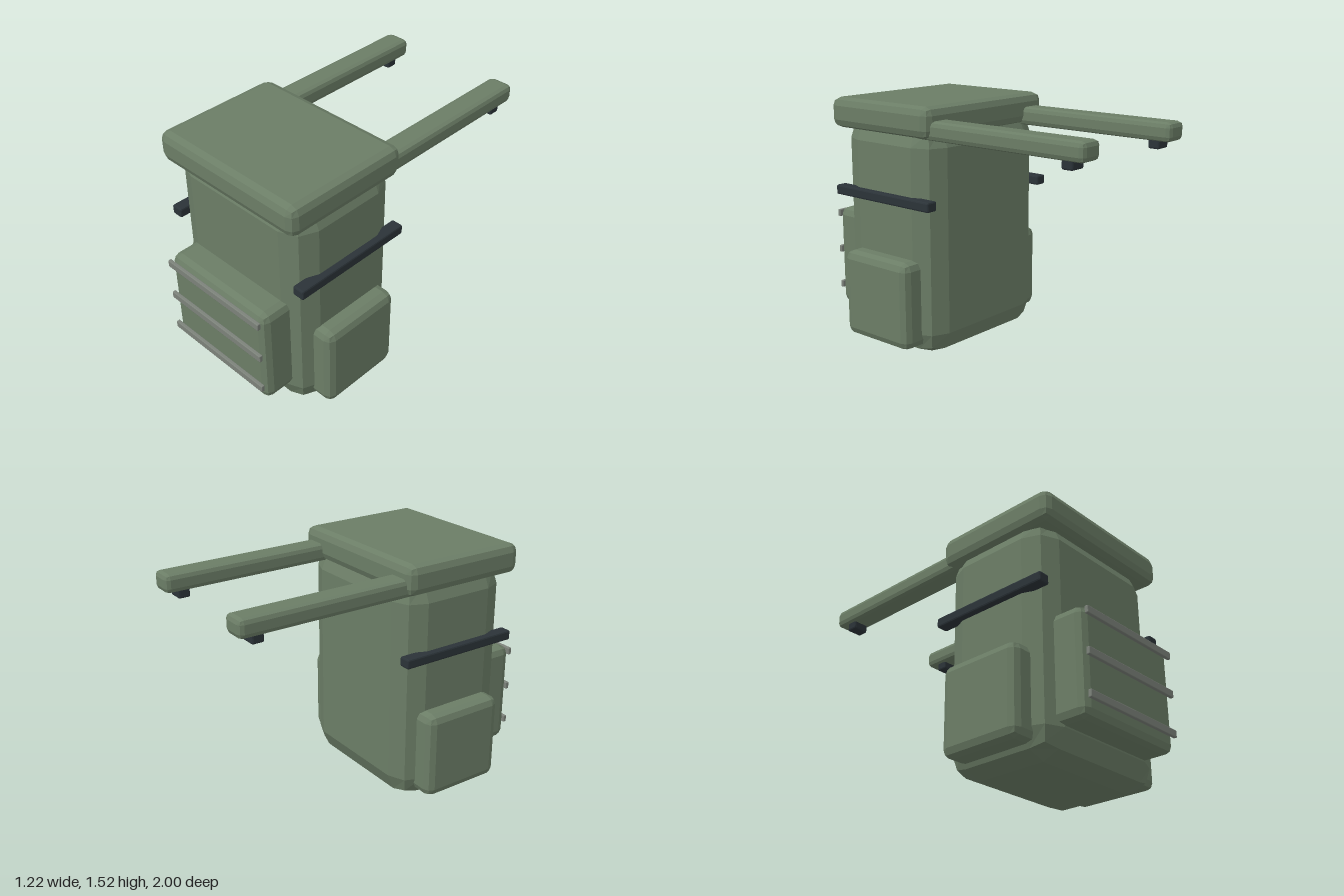
import * as THREE from 'three';
import { RoundedBoxGeometry } from 'three/addons/geometries/RoundedBoxGeometry.js';

const fabric = new THREE.MeshStandardMaterial({ color: 0x6b7d66, flatShading: true });
const webbing = new THREE.MeshStandardMaterial({ color: 0x7c827a, flatShading: true });
const dark = new THREE.MeshStandardMaterial({ color: 0x2b3338, flatShading: true });

// Bevelled box given by its [min, max] extents on each axis
function block(name, [x0, x1], [y0, y1], [z0, z1], radius, material) {
  const geometry = new RoundedBoxGeometry(x1 - x0, y1 - y0, z1 - z0, 1, radius);
  const mesh = new THREE.Mesh(geometry, material);
  mesh.position.set((x0 + x1) / 2, (y0 + y1) / 2, (z0 + z1) / 2);
  mesh.name = name;
  return mesh;
}

export function createModel() {
  const backpack = new THREE.Group();
  backpack.name = 'backpack';

  // Main bag and its overhanging lid
  backpack.add(
    block('body', [-0.5, 0.5], [0, 1.43], [0.05, 0.8], 0.15, fabric),
    block('lid', [-0.525, 0.525], [1.34, 1.525], [0.045, 0.86], 0.05, fabric),
    block('frontPocket', [-0.395, 0.395], [0.16, 0.8], [0.72, 0.97], 0.05, fabric)
  );

  // Webbing rows in front of the pocket
  for (const y of [0.273, 0.513, 0.753]) {
    backpack.add(block('webbingStrip', [-0.38, 0.38], [y - 0.022, y + 0.022], [0.978, 1], 0.004, webbing));
  }

  // Parts mirrored on both sides
  for (const [side, s] of [['left', 1], ['right', -1]]) {
    const span = (a, b) => (s > 0 ? [a, b] : [-b, -a]);
    backpack.add(
      block(side + 'SidePocket', span(0.41, 0.61), [0.07, 0.61], [0.155, 0.69], 0.05, fabric),
      block(side + 'CompressionStrap', span(0.465, 0.54), [0.93, 0.99], [0.03, 0.815], 0.01, dark),
      block(side + 'ShoulderStrap', span(0.333, 0.488), [1.333, 1.445], [-1, 0.2], 0.03, fabric),
      block(side + 'StrapBuckle', span(0.36, 0.46), [1.285, 1.345], [-0.915, -0.842], 0.01, dark)
    );
  }
  return backpack;
}
